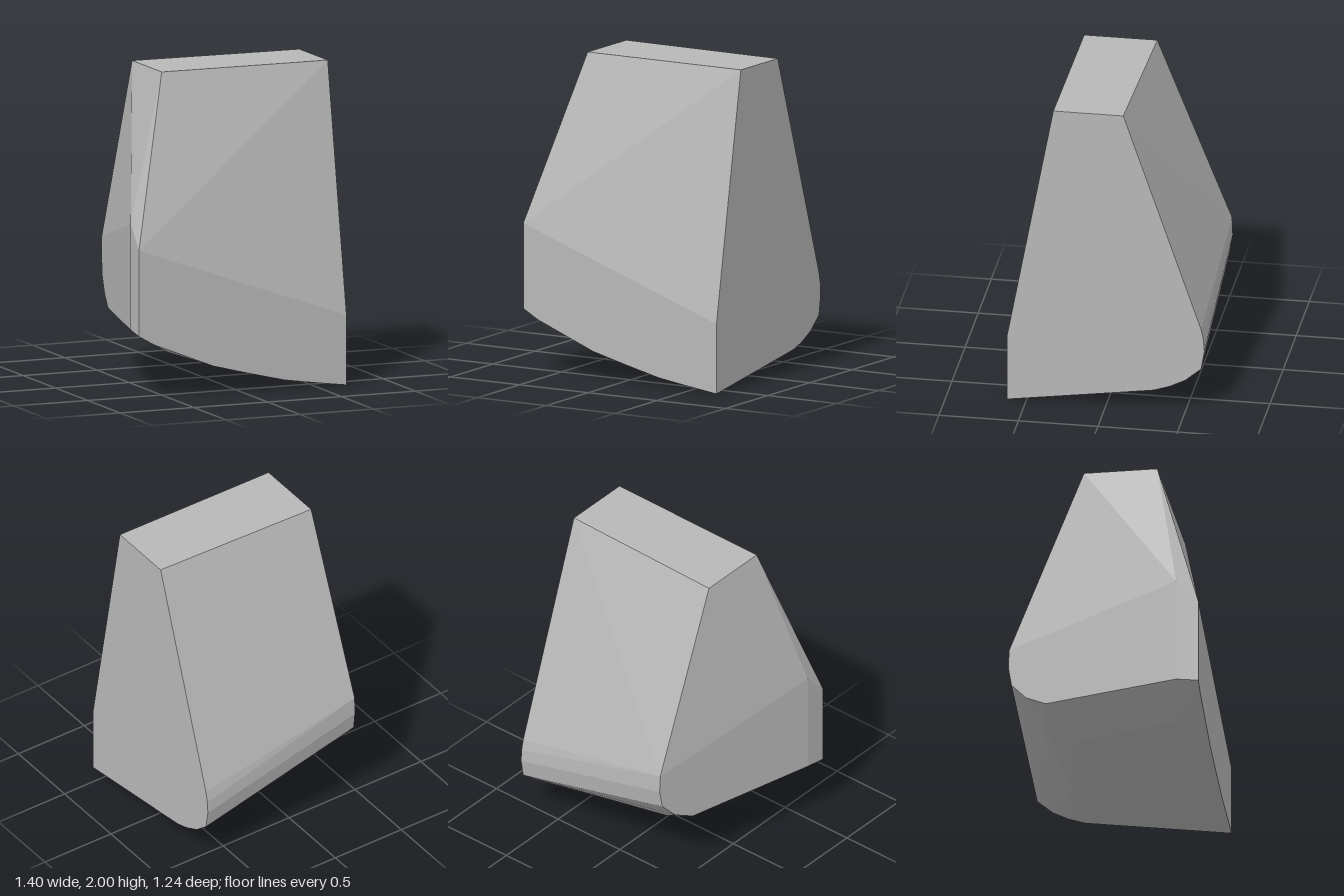
import * as THREE from 'three';
import { ConvexGeometry } from 'three/addons/geometries/ConvexGeometry.js';

export function createModel() {
  const model = new THREE.Group();
  const grey = new THREE.MeshStandardMaterial({ color: 0xb8b8b8 });
  grey.name = 'plain grey';

  // flat side wall at +x, as [z, y]
  const flatSide = [
    [0.33, 2], [-0.11, 2], [-0.6, 0.57], [-0.615, 0.5], [-0.62, 0.42], [-0.6, 0.3],
    [-0.5, 0.215], [-0.4, 0.165], [-0.3, 0.132], [-0.15, 0.11], [0.62, 0], [0.62, 0.44],
  ].map(([z, y]) => [0.7, y, z]);

  // slanted side wall at -x: rounded lower back corner, as [z, y] on the leaning plane
  const slantedSide = [
    [-0.61, 0.82], [-0.615, 0.7], [-0.595, 0.58], [-0.5, 0.475], [-0.37, 0.41], [0.48, 0.42], [0.48, 1.09],
  ].map(([z, y]) => [-0.42 - 0.257 * (z + 0.61), y, z]);

  // top edge and front nose on the slanted side
  const corners = [[-0.42, 2, 0.32], [-0.42, 2, -0.14], [-0.705, 0.94, 0.62]];

  // curved lower edge of the front, as [x, y]
  const frontEdge = [
    [-0.705, 0.4], [-0.6, 0.34], [-0.2, 0.18], [0.04, 0.118], [0.28, 0.06], [0.48, 0.03],
  ].map(([x, y]) => [x, y, 0.62]);

  // gentle swell of the underside
  const underside = [[-0.42, 0.25, 0.4], [0.3, 0.17, -0.32], [-0.2, 0.26, -0.25], [-0.3, 0.345, -0.4]];

  const points = [...flatSide, ...slantedSide, ...corners, ...frontEdge, ...underside]
    .map((p) => new THREE.Vector3(...p));
  const block = new THREE.Mesh(new ConvexGeometry(points), grey);
  block.name = 'taperedBlock';
  model.add(block);
  return model;
}
